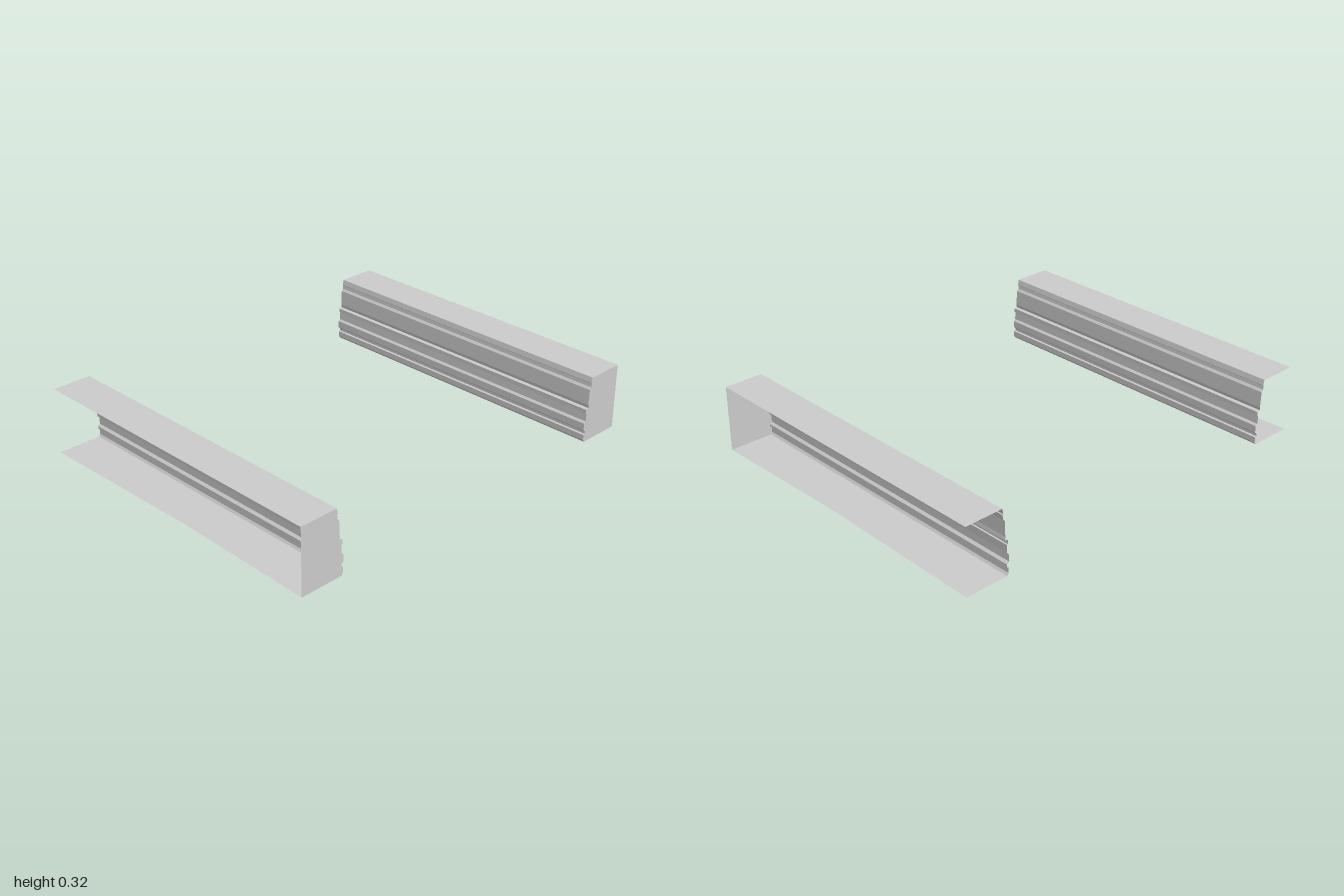
import * as THREE from 'three';

// Moulded inner face, top to bottom: [distance from centre, height]
const PROFILE = [
  [0.81, 0.322], [0.804, 0.296], [0.808, 0.292], [0.806, 0.274], [0.797, 0.263],
  [0.794, 0.187], [0.796, 0.172], [0.78, 0.168], [0.78, 0.148], [0.786, 0.146],
  [0.784, 0.107], [0.774, 0.098], [0.774, 0.064], [0.785, 0.054],
  [0.785, 0.042], [0.777, 0.038], [0.777, 0.011], [0.785, 0],
];
const OUTER = 1, TOP = 0.322, FRONT = 0.805, BACK = -0.805;

const material = new THREE.MeshStandardMaterial({
  color: 0xcccccc, flatShading: true, side: THREE.DoubleSide,
});

function addMesh(group, name, geometry) {
  const mesh = new THREE.Mesh(geometry, material);
  mesh.name = name;
  group.add(mesh);
  return mesh;
}

// Flat outline in plan [x, z], laid at height y
function plate(points, y) {
  const shape = new THREE.Shape(points.map(([x, z]) => new THREE.Vector2(x, -z)));
  return new THREE.ShapeGeometry(shape).rotateX(-Math.PI / 2).translate(0, y, 0);
}

// Strip swept from front to back along the profile
function moulding() {
  const positions = [], index = [];
  PROFILE.forEach(([x, y], i) => {
    positions.push(x, y, FRONT, x, y, BACK);
    if (i > 0) {
      const a = 2 * i - 2;
      index.push(a, a + 1, a + 2, a + 1, a + 3, a + 2);
    }
  });
  const geometry = new THREE.BufferGeometry();
  geometry.setAttribute('position', new THREE.Float32BufferAttribute(positions, 3));
  geometry.setIndex(index);
  geometry.computeVertexNormals();
  return geometry;
}

// Hollow beam, open along its outer side and at the back; side is +1 or -1
function beam(side) {
  const group = new THREE.Group();
  const mirror = (geometry) => {
    if (side > 0) return geometry;
    // Mirror in x and turn the faces round again
    geometry.scale(-1, 1, 1);
    const index = geometry.index.array;
    for (let i = 0; i < index.length; i += 3) {
      [index[i], index[i + 1]] = [index[i + 1], index[i]];
    }
    geometry.computeVertexNormals();
    return geometry;
  };
  const topInner = PROFILE[0][0], bottomInner = PROFILE[PROFILE.length - 1][0];

  addMesh(group, 'mouldedInnerFace', mirror(moulding()));
  addMesh(group, 'topPlate', mirror(plate(
    [[topInner, FRONT], [OUTER, FRONT], [OUTER, BACK], [topInner, BACK]], TOP)));
  // The outer edge of the bottom plate bends in slightly near the middle
  addMesh(group, 'bottomPlate', mirror(plate(
    [[bottomInner, FRONT], [OUTER, FRONT], [OUTER - 0.015, 0.09], [OUTER, BACK], [bottomInner, BACK]], 0)));

  // Front end cap follows the moulding
  const outline = [...PROFILE, [OUTER, 0], [OUTER, TOP]].map(([x, y]) => new THREE.Vector2(x, y));
  addMesh(group, 'frontCap', mirror(
    new THREE.ShapeGeometry(new THREE.Shape(outline)).translate(0, 0, FRONT)));
  return group;
}

export function createModel() {
  const model = new THREE.Group();
  model.name = 'mouldedBeams';
  for (const side of [1, -1]) {
    const group = beam(side);
    group.name = side > 0 ? 'leftBeam' : 'rightBeam';
    model.add(group);
  }
  return model;
}
